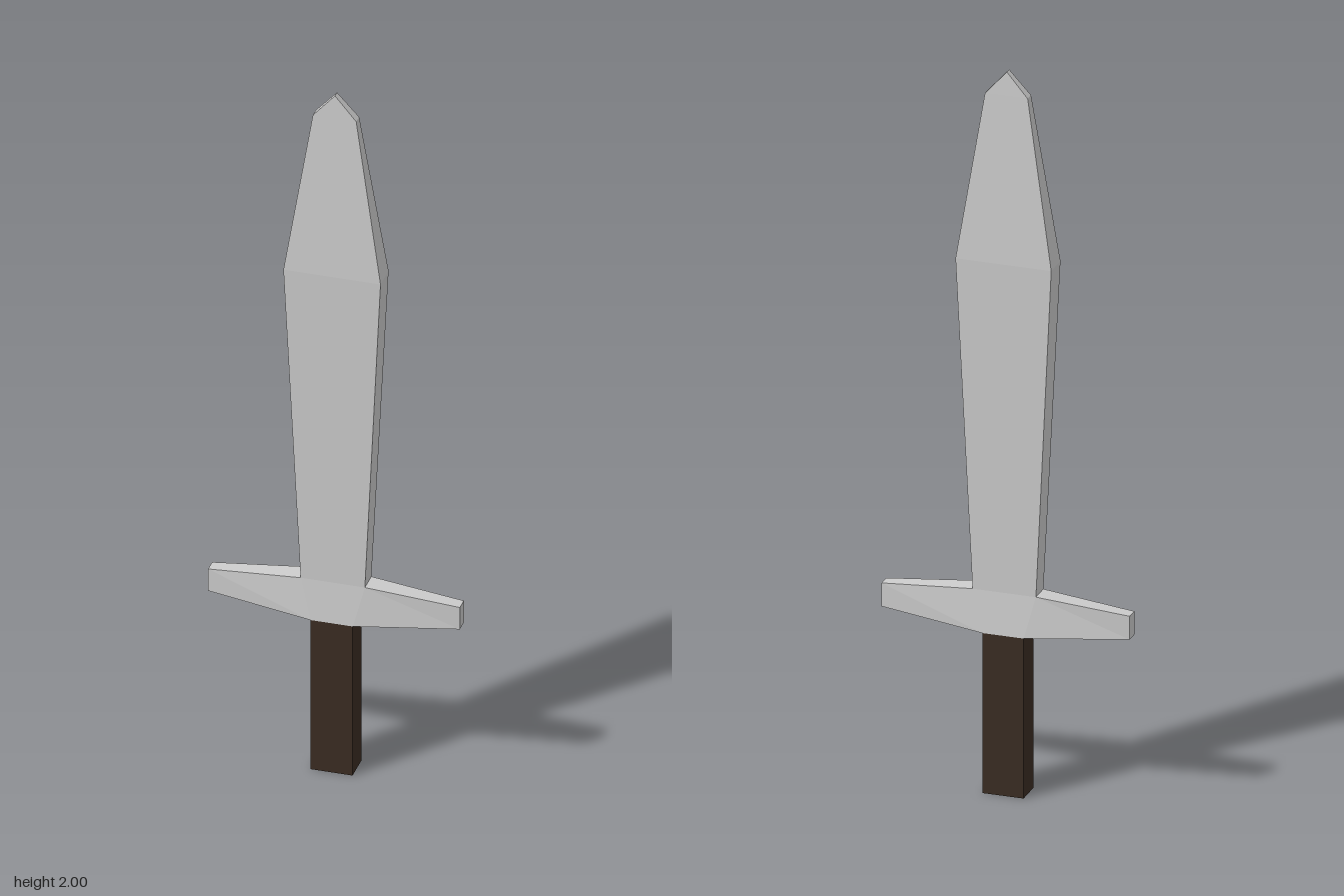
import * as THREE from 'three';

// Skin a list of four-cornered rings, closing both ends. Corners run
// counterclockwise when looking back along the direction of the rings.
function loft(rings) {
  const pos = [];
  const quad = (a, b, c, d) => pos.push(...a, ...b, ...c, ...a, ...c, ...d);
  for (let i = 0; i < rings.length - 1; i++) {
    const lo = rings[i], hi = rings[i + 1];
    for (let k = 0; k < 4; k++) {
      const n = (k + 1) % 4;
      quad(lo[k], lo[n], hi[n], hi[k]);
    }
  }
  quad(...[...rings[0]].reverse());
  quad(...rings[rings.length - 1]);
  const geo = new THREE.BufferGeometry();
  geo.setAttribute('position', new THREE.Float32BufferAttribute(pos, 3));
  geo.computeVertexNormals();
  return geo;
}

// Level rectangle at height y with half width w and half depth d
const levelRing = ([y, w, d]) => [[-w, y, d], [w, y, d], [w, y, -d], [-w, y, -d]];

// Upright ring across the guard: bottom and top edge each as [x, y, half depth]
const crossRing = ([bx, by, bd], [tx, ty, td]) =>
  [[bx, by, bd], [bx, by, -bd], [tx, ty, -td], [tx, ty, td]];

export function createModel() {
  const group = new THREE.Group();
  const steel = new THREE.MeshStandardMaterial({ color: 0xcccccc, flatShading: true });
  const wood = new THREE.MeshStandardMaterial({ color: 0x3a2c22, flatShading: true });

  const add = (name, geometry, material) => {
    const mesh = new THREE.Mesh(geometry, material);
    mesh.name = name;
    group.add(mesh);
    return mesh;
  };

  // Leaf-shaped blade, ending in a short chisel-edged tip
  add('blade', loft([
    [0.56, 0.086, 0.029],
    [1.475, 0.13, 0.036],
    [1.935, 0.058, 0.013],
    [2.0, 0, 0.009],
  ].map(levelRing)), steel);

  // Cross guard: arms taper outwards from a core joining grip to blade
  const end = (s) => crossRing([s * 0.337, 0.472, 0.018], [s * 0.337, 0.537, 0.018]);
  const core = (s) => crossRing([s * 0.057, 0.445, 0.04], [s * 0.086, 0.56, 0.029]);
  add('guard', loft([end(-1), core(-1), core(1), end(1)]), steel);

  // Square grip
  add('grip', new THREE.BoxGeometry(0.112, 0.445, 0.078), wood).position.y = 0.2225;

  return group;
}
